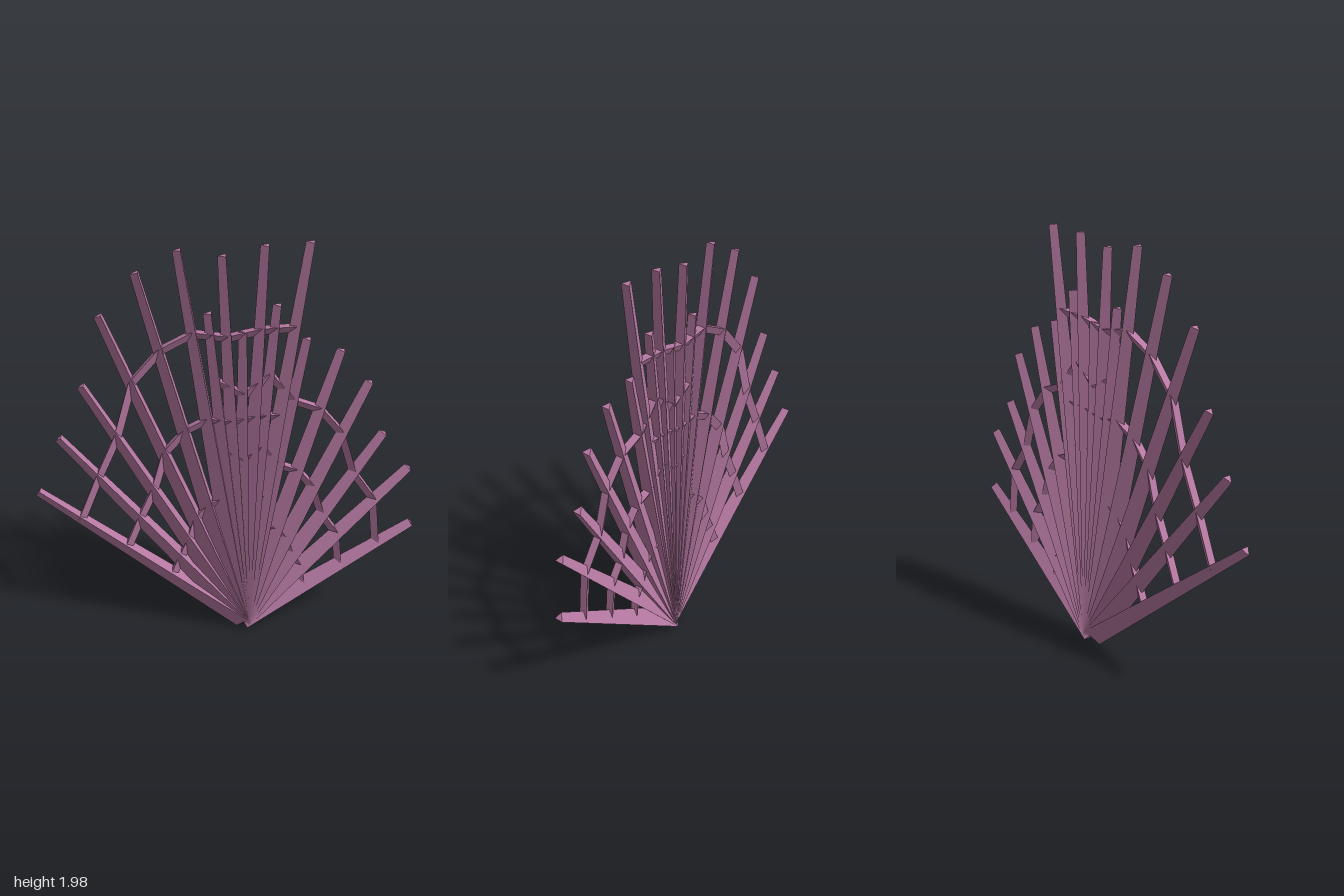
import * as THREE from 'three';

// Two overlapping fans of tapering three-sided ribs, tied together by rings of short struts.
const BASE = new THREE.Vector2(0.09, 0.055);
const RING_FRACTIONS = [0.36, 0.58, 0.8];

// Rib tips of each fan, ordered from right to left
const TALL_TIPS = [
  [0.36, 1.99], [0.17, 1.975], [-0.01, 1.93], [-0.2, 1.955], [-0.382, 1.855],
  [-0.545, 1.66], [-0.637, 1.325], [-0.752, 1.063], [-0.864, 0.78],
];
const SHORT_TIPS = [
  [0.868, 0.61], [0.838, 0.908], [0.714, 1.088], [0.638, 1.343], [0.508, 1.497],
  [0.358, 1.55], [0.226, 1.708], [0.08, 1.587], [-0.073, 1.67],
];

export function createModel() {
  const coral = new THREE.MeshStandardMaterial({ color: 0xb87aa4, flatShading: true });
  coral.name = 'mauve coral';

  // Triangular bar from a to b in the fan plane, with one edge along its left side
  function bar(name, a, b, startRadius, endRadius) {
    const d = b.clone().sub(a);
    const geometry = new THREE.CylinderGeometry(endRadius, startRadius, d.length(), 3, 1, false, -Math.PI / 2);
    const mesh = new THREE.Mesh(geometry, coral);
    mesh.name = name;
    mesh.position.set((a.x + b.x) / 2, (a.y + b.y) / 2, 0);
    mesh.rotation.z = Math.atan2(-d.x, d.y);
    return mesh;
  }

  function fan(name, tipList) {
    const group = new THREE.Group();
    group.name = name;
    const tips = tipList.map(([x, y]) => new THREE.Vector2(x, y));

    // Ribs spreading from the shared base
    tips.forEach((tip) => group.add(bar('rib', BASE, tip, 0.058, 0.0245)));

    // Struts joining neighbouring ribs at each ring
    for (const t of RING_FRACTIONS) {
      const points = tips.map((tip) => BASE.clone().lerp(tip, t));
      for (let i = 0; i < points.length - 1; i++) {
        group.add(bar('crossStrut', points[i], points[i + 1], 0.023, 0.023));
      }
    }
    return group;
  }

  const model = new THREE.Group();
  model.name = 'fanCoral';
  model.add(fan('tallFan', TALL_TIPS), fan('shortFan', SHORT_TIPS));
  return model;
}
